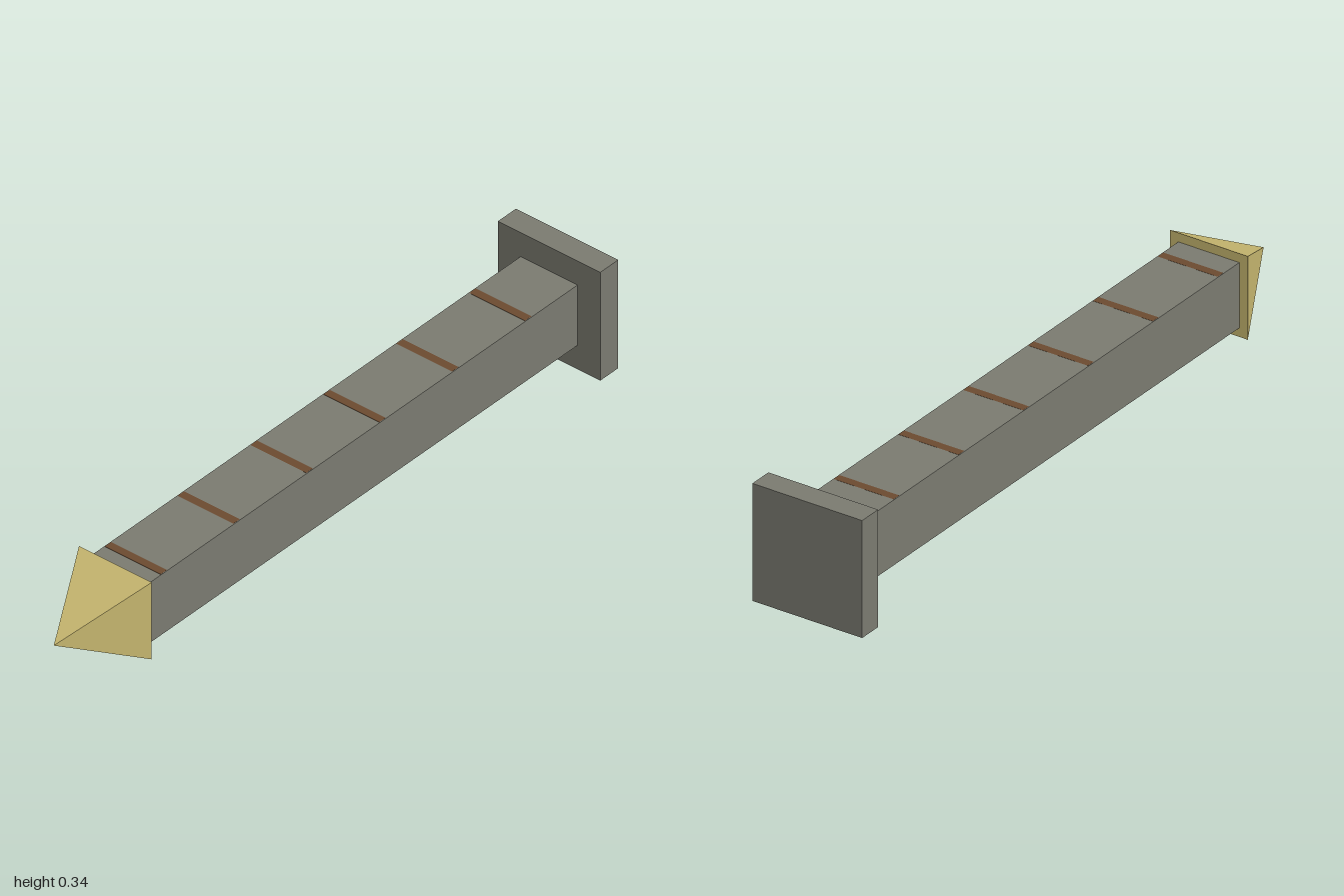
import * as THREE from 'three';

export function createModel() {
  const group = new THREE.Group();
  const material = (color) => new THREE.MeshStandardMaterial({ color, flatShading: true });
  const stone = material(0x7a7a70);
  const gold = material(0xc8b870);
  const brown = material(0x6b4a30);
  const axisY = 0.169;

  const add = (name, geometry, mat, z) => {
    const mesh = new THREE.Mesh(geometry, mat);
    mesh.name = name;
    mesh.position.set(0, axisY, z);
    group.add(mesh);
  };

  // Square end plate and long square shaft
  add('endPlate', new THREE.BoxGeometry(0.338, 0.338, 0.07), stone, -0.965);
  add('shaft', new THREE.BoxGeometry(0.188, 0.188, 1.69), stone, -0.085);

  // Four-sided pointed tip facing forward
  const tip = new THREE.ConeGeometry(0.12 * Math.SQRT2, 0.24, 4);
  tip.rotateY(Math.PI / 4);
  tip.rotateX(Math.PI / 2);
  add('tip', tip, gold, 0.88);

  // Thin inlaid bands, practically flush with the top and bottom of the shaft
  for (let i = 0; i < 6; i++) {
    add('band' + (i + 1), new THREE.BoxGeometry(0.184, 0.1886, 0.025), brown, -0.74 + i * 0.284);
  }

  return group;
}
